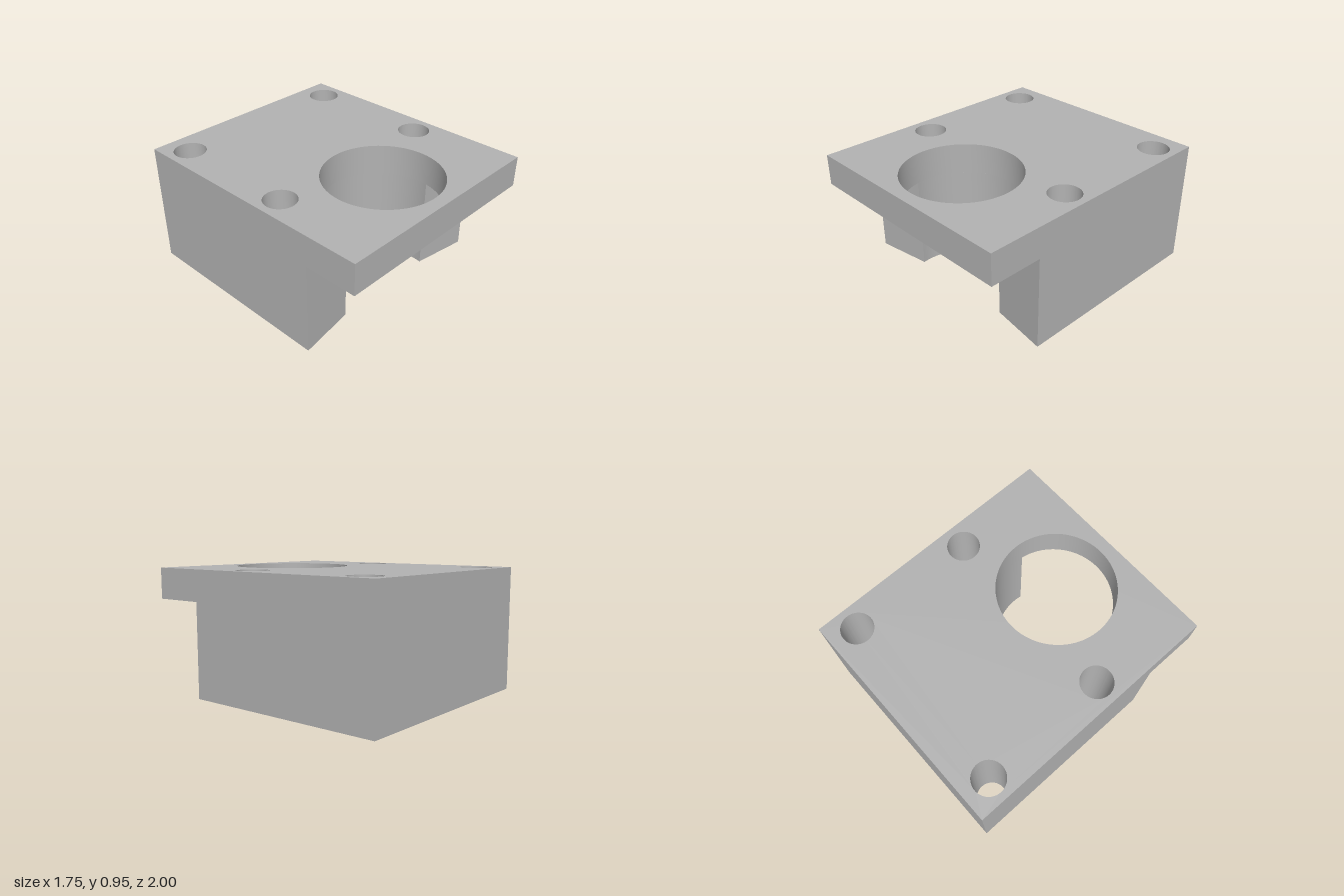
import * as THREE from 'three';
import { toCreasedNormals } from 'three/addons/utils/BufferGeometryUtils.js';

const W = 0.873;          // half width
const STEP = 0.715;       // underside of the overhanging plate
const TOP = 0.95;         // overall height
const BORE = { z: 0.465, r: 0.439 };
const LIP = 0.53;         // z where the block front meets the bore
const FRONT = 0.595;      // z of the block's outer front corners

// Shapes are drawn in plan with v = -z, then stood up along y.
function extrudeUp(shape, y0, y1) {
  const geo = new THREE.ExtrudeGeometry(shape, { depth: y1 - y0, bevelEnabled: false, curveSegments: 48 });
  geo.rotateX(-Math.PI / 2);
  geo.translate(0, y0, 0);
  return toCreasedNormals(geo, 0.5);
}

function circleHole(x, z, r) {
  const path = new THREE.Path();
  path.absarc(x, -z, r, 0, Math.PI * 2, true);
  return path;
}

function addBoltHoles(shape) {
  for (const x of [-0.7, 0.7])
    for (const z of [-0.793, 0.185]) shape.holes.push(circleHole(x, z, 0.12));
}

export function createModel() {
  const group = new THREE.Group();
  group.name = 'mountingBlock';
  const grey = new THREE.MeshStandardMaterial({ color: 0xb2b2b2 });
  grey.name = 'grey';

  // Lower block: slanted front faces run into an open round bore
  const a = Math.asin((LIP - BORE.z) / BORE.r);
  const block = new THREE.Shape();
  block.moveTo(-W, 1);
  block.lineTo(-W, -FRONT);
  block.lineTo(-BORE.r * Math.cos(a), -LIP);
  block.absarc(0, -BORE.z, BORE.r, Math.PI + a, -a, true);
  block.lineTo(W, -FRONT);
  block.lineTo(W, 1);
  block.closePath();
  addBoltHoles(block);

  // Top plate: overhangs the front, with the complete bore
  const plate = new THREE.Shape();
  plate.moveTo(-W, 1);
  plate.lineTo(-W, -1);
  plate.lineTo(W, -1);
  plate.lineTo(W, 1);
  plate.closePath();
  plate.holes.push(circleHole(0, BORE.z, BORE.r));
  addBoltHoles(plate);

  const parts = [['lowerBlock', block, 0, STEP], ['topPlate', plate, STEP, TOP]];
  for (const [name, shape, y0, y1] of parts) {
    const mesh = new THREE.Mesh(extrudeUp(shape, y0, y1), grey);
    mesh.name = name;
    group.add(mesh);
  }
  return group;
}
